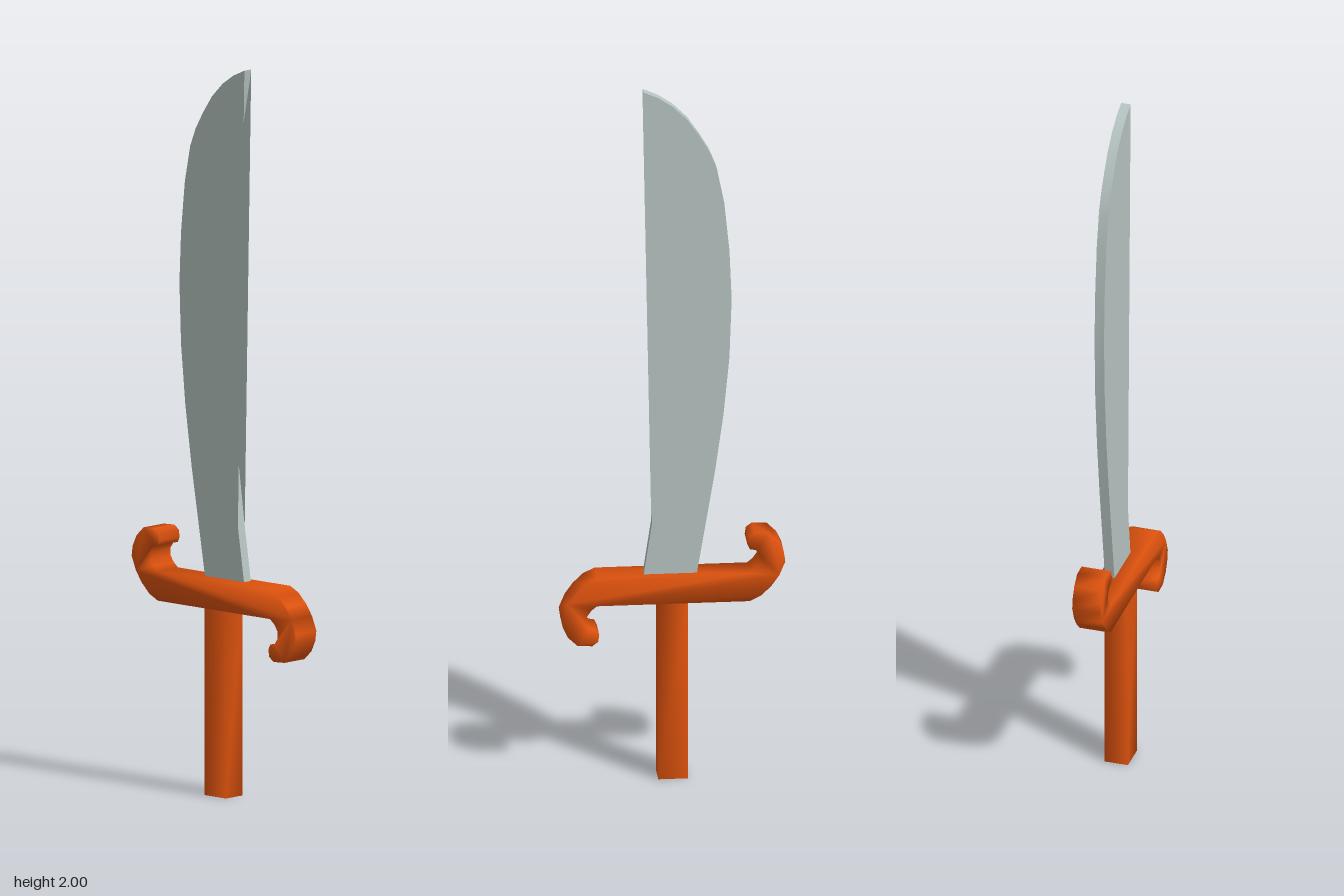
import * as THREE from 'three';
import { mergeVertices, toCreasedNormals } from 'three/addons/utils/BufferGeometryUtils.js';

// The edge webs are open sheets, so the steel shows from both sides
const steel = new THREE.MeshStandardMaterial({ color: 0xb7c4c1, side: THREE.DoubleSide });
steel.name = 'steel';
const orange = new THREE.MeshStandardMaterial({ color: 0xe0530e });
orange.name = 'orange';

// Profiles are [z, y] points; local x is -z, so a quarter turn puts them in place.
const toShape = pts => new THREE.Shape(pts.map(([z, y]) => new THREE.Vector2(-z, y)));

function slab(pts, x0, x1, crease) {
  const g = new THREE.ExtrudeGeometry(toShape(pts), { depth: x1 - x0, bevelEnabled: false });
  g.translate(0, 0, x0).rotateY(Math.PI / 2);
  return toCreasedNormals(g, crease);
}

// Box whose corners share smooth normals
function smoothBox(w, h, d) {
  const g = new THREE.BoxGeometry(w, h, d);
  g.deleteAttribute('normal');
  g.deleteAttribute('uv');
  const smooth = mergeVertices(g);
  smooth.computeVertexNormals();
  return smooth;
}

function add(group, name, geometry, material) {
  const mesh = new THREE.Mesh(geometry, material);
  mesh.name = name;
  group.add(mesh);
  return mesh;
}

export function createModel() {
  const sword = new THREE.Group();
  sword.name = 'sword';

  // Curved blade with a hollow front edge
  const X0 = -0.005, X1 = 0.022;
  const frontEdge = [[0.056, 0.745], [0.034, 0.91], [0.016, 1.055], [0.005, 1.19], [0, 1.32],
    [0.005, 1.5], [0.017, 1.62], [0.032, 1.74], [0.054, 1.86], [0.075, 1.97]];
  const backEdge = [[0.08, 2], [0.04, 1.982], [0, 1.955], [-0.04, 1.915], [-0.074, 1.865],
    [-0.1, 1.82], [-0.12, 1.77], [-0.14, 1.67], [-0.154, 1.53], [-0.16, 1.39],
    [-0.154, 1.22], [-0.138, 1.055], [-0.115, 0.89], [-0.064, 0.585]];
  add(sword, 'blade', slab([[0.08, 0.585], ...frontEdge, ...backEdge], X0, X1, 0.5), steel);

  // Thin webs bridging the hollow on both sides
  const hollow = toShape([...frontEdge, [0.08, 2]]);
  const leftWeb = add(sword, 'leftEdgeWeb', new THREE.ShapeGeometry(hollow), steel);
  leftWeb.rotation.y = Math.PI / 2;
  leftWeb.position.x = X1;
  const rightGeometry = new THREE.ShapeGeometry(hollow);
  rightGeometry.index.array.reverse();
  rightGeometry.computeVertexNormals();
  const rightWeb = add(sword, 'rightEdgeWeb', rightGeometry, steel);
  rightWeb.rotation.y = Math.PI / 2;
  rightWeb.position.x = X0;

  // S-shaped guard: one hooked half, turned about the middle for the other
  const half = [[0.207, 0.595], [0.238, 0.58], [0.266, 0.553], [0.288, 0.522],
    [0.304, 0.483], [0.3, 0.455], [0.286, 0.425], [0.26, 0.4], [0.22, 0.398],
    [0.204, 0.41], [0.201, 0.43], [0.208, 0.444], [0.224, 0.447], [0.235, 0.463],
    [0.234, 0.485], [0.222, 0.502], [0.207, 0.514]];
  const turned = half.map(([z, y]) => [-z, 1.109 - y]);
  add(sword, 'guard', slab([...half, ...turned], -0.04, 0.04, Math.PI), orange);

  // Square grip with softened corners
  const grip = add(sword, 'grip', smoothBox(0.066, 0.53, 0.08), orange);
  grip.position.set(-0.002, 0.265, 0);

  return sword;
}
